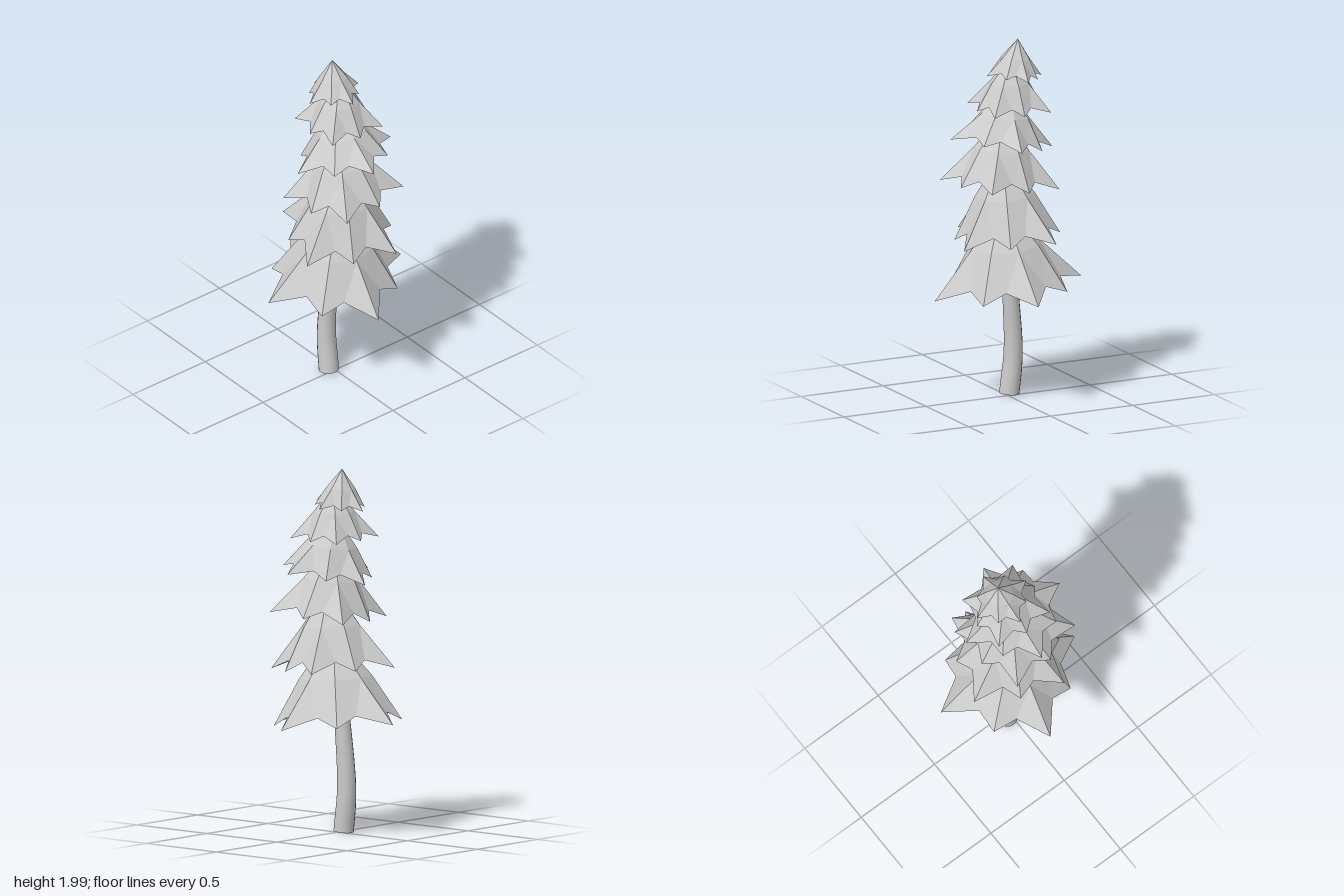
import * as THREE from 'three';

const foliage = new THREE.MeshStandardMaterial({ color: 0xcccccc, flatShading: true, side: THREE.DoubleSide });
const bark = new THREE.MeshStandardMaterial({ color: 0xcccccc });

// Open star-shaped skirt: four long tips, four blunt corners, notches between them
function skirtGeometry(radius, height, spin) {
  const at = (step, r, y) => {
    const a = spin + step * Math.PI / 4;
    return [Math.sin(a) * r * radius, y * height, Math.cos(a) * r * radius];
  };
  const apex = [0, height, 0];
  const mid = i => at(i, 0.46, 0.5);
  const rim = i => at(i, i % 2 ? 0.81 : 1, 0);
  const points = [];
  for (let i = 0; i < 8; i++) {
    const notch = at(i + (i % 2 ? 0.47 : 0.53), 0.67, 0.11);
    points.push(
      apex, mid(i), mid(i + 1),
      mid(i), rim(i), notch,
      mid(i), notch, mid(i + 1),
      mid(i + 1), notch, rim(i + 1));
  }
  const geometry = new THREE.BufferGeometry();
  geometry.setAttribute('position', new THREE.Float32BufferAttribute(points.flat(), 3));
  geometry.computeVertexNormals();
  return geometry;
}

// Curved tube that narrows towards the top, with a closed foot
function makeTrunk() {
  const path = new THREE.CatmullRomCurve3([
    [-0.026, 0.013, -0.022], [-0.024, 0.24, -0.045], [-0.016, 0.6, -0.023],
    [-0.003, 0.9, 0.005], [0.015, 1.3, 0.035], [0.02, 1.6, 0.03], [0.018, 1.85, -0.02],
  ].map(p => new THREE.Vector3(...p)));
  const rows = 32, sides = 16, radius = 0.055;
  const geometry = new THREE.TubeGeometry(path, rows, radius, sides);
  const position = geometry.attributes.position;
  const v = new THREE.Vector3();
  for (let i = 0; i < position.count; i++) {
    const t = Math.floor(i / (sides + 1)) / rows;
    const centre = path.getPointAt(t);
    v.fromBufferAttribute(position, i).sub(centre).multiplyScalar(1 - 0.75 * Math.max(0, t - 0.05));
    position.setXYZ(i, ...v.add(centre));
  }
  const trunk = new THREE.Group();
  trunk.name = 'trunk';
  const stem = new THREE.Mesh(geometry, bark);
  stem.name = 'trunkStem';
  const foot = new THREE.Mesh(new THREE.CircleGeometry(radius, sides), bark);
  foot.name = 'trunkFoot';
  foot.position.copy(path.getPointAt(0));
  foot.quaternion.setFromUnitVectors(new THREE.Vector3(0, 0, 1), path.getTangentAt(0).negate());
  trunk.add(stem, foot);
  return trunk;
}

export function createModel() {
  const tree = new THREE.Group();
  tree.name = 'firTree';
  tree.add(makeTrunk());

  // Tiers from bottom to top: centre, radius, height, spin in degrees, rise along x and z
  const tiers = [
    { centre: [-0.002, 0.605, -0.002], radius: 0.43, height: 0.5, spin: -5, rise: [0, -0.07] },
    { centre: [0.02, 0.905, 0.015], radius: 0.355, height: 0.47, spin: 21.5, rise: [0.01, -0.06] },
    { centre: [0.012, 1.195, 0.056], radius: 0.327, height: 0.4, spin: -35, rise: [0.03, 0.08] },
    { centre: [0.022, 1.43, 0.051], radius: 0.3, height: 0.31, spin: -6, rise: [0.02, 0.16] },
    { centre: [0.022, 1.62, 0.003], radius: 0.24, height: 0.29, spin: 43.5, rise: [-0.03, 0.01] },
    { centre: [0.016, 1.795, -0.03], radius: 0.168, height: 0.206, spin: 0, rise: [-0.02, 0.1] },
  ];
  tiers.forEach(({ centre, radius, height, spin, rise }, i) => {
    const tier = new THREE.Mesh(skirtGeometry(radius, height, THREE.MathUtils.degToRad(spin)), foliage);
    tier.name = `branchTier${i + 1}`;
    tier.position.set(...centre);
    tier.rotation.set(-rise[1], 0, rise[0]);
    tree.add(tier);
  });
  return tree;
}
